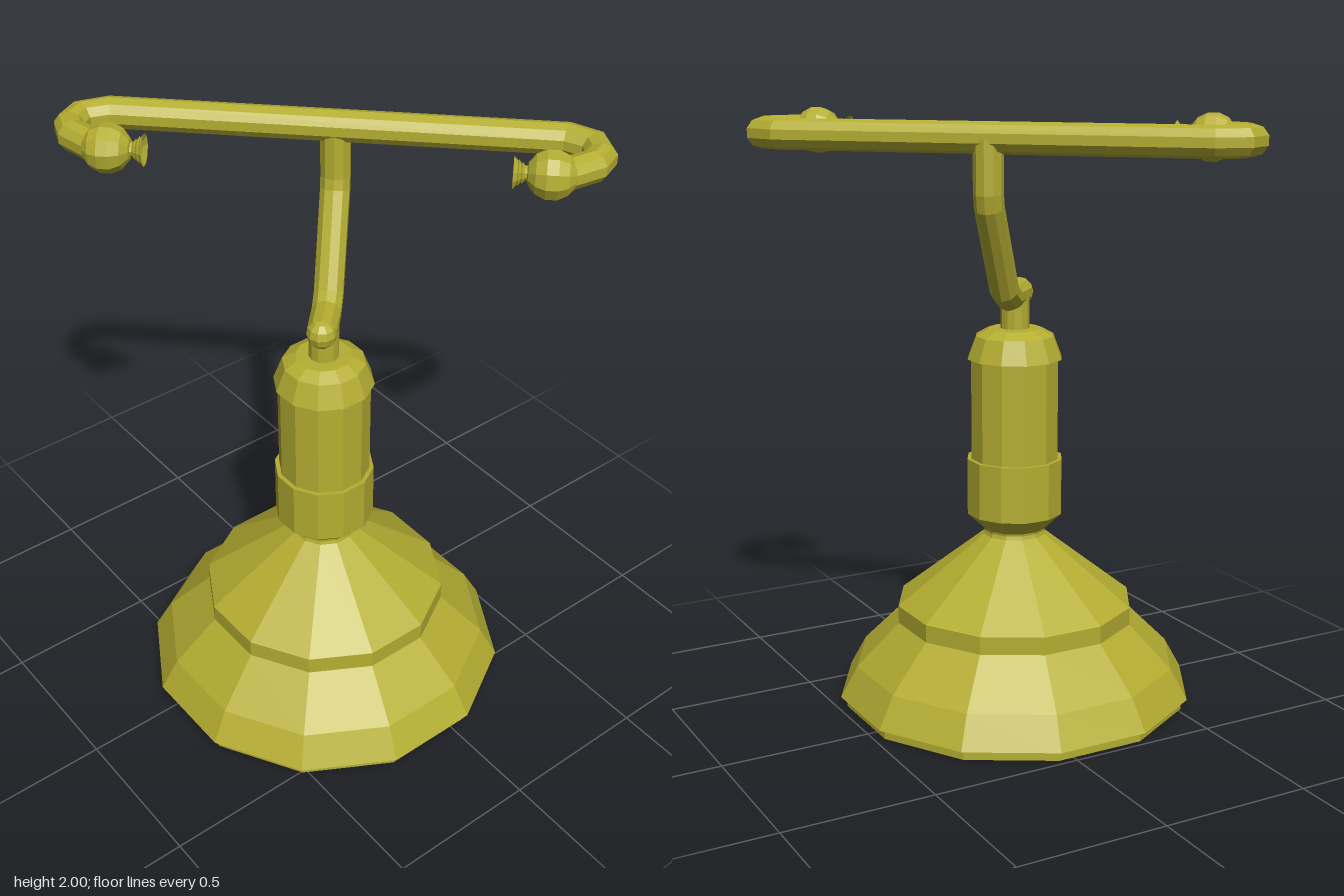
import * as THREE from 'three';

const material = new THREE.MeshStandardMaterial({
  color: 0xb5ae32, flatShading: true, side: THREE.DoubleSide,
});

// Straight segments through the given points, with mitred corners
class Polyline extends THREE.Curve {
  constructor(points) {
    super();
    this.points = points;
  }
  getPointAt(t) {
    return this.points[Math.round(t * (this.points.length - 1))].clone();
  }
  getTangentAt(t) {
    const p = this.points, i = Math.round(t * (p.length - 1));
    const dir = (a, b) => p[b].clone().sub(p[a]).normalize();
    const before = i > 0 ? dir(i - 1, i) : dir(0, 1);
    const after = i < p.length - 1 ? dir(i, i + 1) : before;
    return before.clone().add(after).normalize();
  }
}

function add(parent, name, geometry, x = 0, y = 0, z = 0) {
  const mesh = new THREE.Mesh(geometry, material);
  mesh.name = name;
  mesh.position.set(x, y, z);
  parent.add(mesh);
  return mesh;
}

const lathe = (profile, sides = 12) => new THREE.LatheGeometry(
  profile.map(([r, y]) => new THREE.Vector2(r, y)), sides, Math.PI / sides);

const tube = (points, radius) =>
  new THREE.TubeGeometry(new Polyline(points), points.length - 1, radius, 10);

export function createModel() {
  const model = new THREE.Group();
  const cx = -0.1, cz = 0.09;

  // Stepped bell-shaped foot
  add(model, 'base', lathe([
    [0, 0], [0.587, 0], [0.587, 0.035], [0.608, 0.035], [0.55, 0.14],
    [0.405, 0.285], [0.405, 0.345], [0.106, 0.58], [0.1, 0.6],
  ]), cx, 0, cz);

  // Handle with a wider lower sleeve
  add(model, 'handle', lathe([
    [0.1, 0.58], [0.104, 0.6], [0.163, 0.655], [0.163, 0.845], [0.149, 0.845], [0.149, 1.19],
  ]), cx, 0, cz);

  // Collar closing the top of the handle
  add(model, 'collar', lathe([
    [0.149, 1.185], [0.161, 1.185], [0.132, 1.262], [0.09, 1.285], [0, 1.287],
  ]), cx, 0, cz);

  add(model, 'neck', new THREE.CylinderGeometry(0.048, 0.048, 0.13, 12), cx, 1.34, cz);

  // Cranked arm, lying in the vertical plane x + z = -0.01
  const armPoints = [
    [-0.135, 1.4], [-0.05, 1.4], [-0.012, 1.43], [0.105, 1.71], [0.112, 1.755], [0.112, 1.92],
  ].map(([x, y]) => new THREE.Vector3(x, y, -0.01 - x));
  add(model, 'arm', tube(armPoints, 0.048));
  add(model, 'armEnd', new THREE.SphereGeometry(0.048, 10, 6), -0.135, 1.4, 0.125);

  // Crossbar with hooked ends, mirrored about the plane of the arm
  const barY = 1.925;
  const mirror = ([x, z]) => [-0.01 - z, -0.01 - x];
  const hook = [[-0.525, -0.43], [-0.545, -0.555], [-0.525, -0.605], [-0.465, -0.638], [-0.38, -0.61]];
  const barPoints = [...hook, ...hook.map(mirror).reverse()]
    .map(([x, z]) => new THREE.Vector3(x, barY, z));
  add(model, 'crossbar', tube(barPoints, 0.05));

  // Ball and ribbed, hollow nozzle at each end of the crossbar
  const ball = [-0.507, -0.425];
  [[ball, 1, 'right'], [mirror(ball), -1, 'left']].forEach(([[x, z], sign, side]) => {
    const terminal = new THREE.Group();
    terminal.name = side + 'Terminal';
    terminal.position.set(x, barY, z);
    terminal.quaternion.setFromUnitVectors(
      new THREE.Vector3(0, 1, 0), new THREE.Vector3(sign, 0, sign).normalize());
    add(terminal, 'ball', new THREE.SphereGeometry(0.077, 10, 7));
    add(terminal, 'nozzle', lathe([
      [0.024, 0.065], [0.022, 0.078], [0.032, 0.086], [0.028, 0.089], [0.04, 0.097],
      [0.036, 0.1], [0.05, 0.112], [0.03, 0.1], [0, 0.09],
    ], 10));
    model.add(terminal);
  });

  return model;
}
